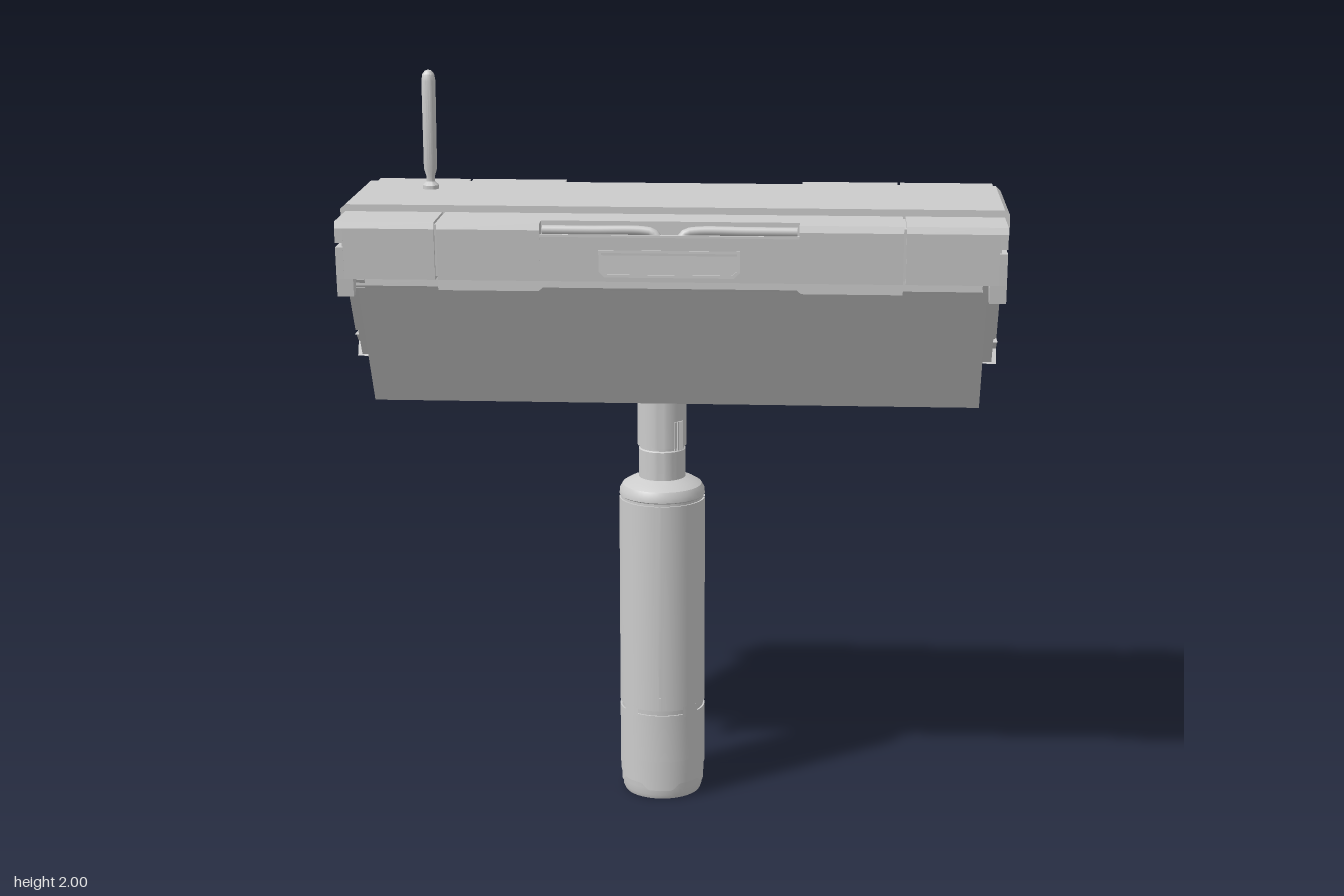
import * as THREE from 'three';
import { toCreasedNormals } from 'three/addons/utils/BufferGeometryUtils.js';

const grey = new THREE.MeshStandardMaterial({ color: 0xcccccc });
const thin = new THREE.MeshStandardMaterial({ color: 0xcccccc, side: THREE.DoubleSide });

function add(parent, name, geometry, x = 0, y = 0, z = 0, material = grey) {
  const mesh = new THREE.Mesh(geometry, material);
  mesh.name = name;
  mesh.position.set(x, y, z);
  parent.add(mesh);
  return mesh;
}
const toShape = pts => new THREE.Shape(pts.map(([a, b]) => new THREE.Vector2(a, b)));

// Cross-section of [z, y] points pushed along x from x0 to x1
function prismX(pts, x0, x1) {
  const g = new THREE.ExtrudeGeometry(toShape(pts.map(([z, y]) => [-z, y])), { depth: x1 - x0, bevelEnabled: false });
  return g.rotateY(Math.PI / 2).translate(x0, 0, 0);
}
// Outline of [x, y] points pushed along z from z0 to z1
function prismZ(pts, z0, z1) {
  return new THREE.ExtrudeGeometry(toShape(pts), { depth: z1 - z0, bevelEnabled: false }).translate(0, 0, z0);
}
// Closed symmetric outline from its +z half
const mirrorZ = half => [...half, ...half.slice().reverse().map(([z, y]) => [-z, y])];

function lathe(pts, segments = 48, start = 0, length = Math.PI * 2) {
  return toCreasedNormals(
    new THREE.LatheGeometry(pts.map(([r, y]) => new THREE.Vector2(r, y)), segments, start, length), 0.5);
}

// One long side of the lid, built facing +z
function lidSide(name) {
  const side = new THREE.Group();
  side.name = name;
  const full = [[0.18, 1.662], [0.355, 1.662], [0.362, 1.645], [0.35, 1.512], [0.30, 1.512], [0.25, 1.585], [0.18, 1.585]];
  const notched = [[0.18, 1.662], [0.312, 1.662], [0.312, 1.628], [0.36, 1.628], ...full.slice(3)];
  add(side, 'lidCenterSection', prismX(notched, -0.33, 0.33));
  add(side, 'lidSeamFiller', prismX([[0.18, 1.655], [0.35, 1.655], [0.342, 1.52], [0.302, 1.52], [0.25, 1.59], [0.18, 1.59]], 0.33, 0.84));
  add(side, 'lidSeamFiller', prismX([[0.18, 1.655], [0.35, 1.655], [0.342, 1.52], [0.302, 1.52], [0.25, 1.59], [0.18, 1.59]], -0.84, -0.33));
  add(side, 'recessLip', new THREE.BoxGeometry(0.66, 0.006, 0.008), 0, 1.631, 0.356);

  for (const s of [-1, 1]) {
    const span = (a, b, pts) => prismX(pts, Math.min(s * a, s * b), Math.max(s * a, s * b));
    add(side, 'lidMiddleSection', span(0.33, 0.593, full));
    add(side, 'lidEndSection', span(0.6, 0.835, full));
    // End sections carry a narrow slit in their outer edge
    add(side, 'lidEndUpper', span(0.835, 0.855, [[0.18, 1.662], [0.355, 1.662], [0.362, 1.645], [0.359, 1.607], [0.18, 1.607]]));
    add(side, 'lidEndLower', span(0.835, 0.855, [[0.18, 1.595], [0.358, 1.595], ...full.slice(3)]));
    add(side, 'lidHook', span(0.812, 0.855, [[0.35, 1.515], [0.344, 1.465], [0.322, 1.465], [0.30, 1.515]]));
    add(side, 'lidTab', prismZ([[s * 0.30, 1.516], [s * 0.335, 1.485], [s * 0.593, 1.485], [s * 0.593, 1.516]], 0.304, 0.348));

    // Rod handle lying in the recess and bending down at the middle
    const path = new THREE.CatmullRomCurve3([[0.325, 1.642, 0.335], [0.2, 1.642, 0.335], [0.07, 1.642, 0.335],
      [0.04, 1.636, 0.338], [0.024, 1.615, 0.345]].map(([x, y, z]) => new THREE.Vector3(s * x, y, z)));
    add(side, 'handleRod', new THREE.TubeGeometry(path, 24, 0.012, 10));
    add(side, 'handleRodEnd', new THREE.SphereGeometry(0.014, 12, 8), s * 0.024, 1.615, 0.345);
  }

  // Plate on the middle of the wall
  const plate = k => [[-0.18 + k, 1.595 - k], [-0.18 + k, 1.54 + k / 2], [-0.165 + k, 1.525 + k], [0.165 - k, 1.525 + k],
    [0.18 - k, 1.54 + k / 2], [0.18 - k, 1.595 - k]];
  const frame = toShape(plate(0));
  frame.holes.push(new THREE.Path(plate(0.007).reverse().map(([x, y]) => new THREE.Vector2(x, y))));
  add(side, 'plateFrame', new THREE.ExtrudeGeometry(frame, { depth: 0.014, bevelEnabled: false }), 0, 0, 0.346);
  add(side, 'plate', prismZ(plate(0.007), 0.34, 0.356));

  // Thin sloping flap hanging under the lid
  const flap = new THREE.PlaneGeometry(1.62, Math.hypot(0.35, 0.21));
  flap.rotateX(Math.atan2(0.21, 0.35));
  add(side, 'hangingFlap', flap, 0, 1.305, 0.195, thin);
  return side;
}

function buildHead() {
  const head = new THREE.Group();
  head.name = 'head';
  add(head, 'topSlab', prismZ([[-0.868, 1.615], [0.868, 1.615], [0.868, 1.668], [0.855, 1.68], [-0.855, 1.68], [-0.868, 1.668]], -0.2, 0.2));
  add(head, 'body', prismX(mirrorZ([[0.25, 1.62], [0.25, 1.475], [0.105, 1.262]]), -0.825, 0.825));
  const front = lidSide('frontLid');
  const back = lidSide('backLid');
  back.rotation.y = Math.PI;
  head.add(front, back);

  for (const s of [-1, 1]) {
    const end = new THREE.Group();
    end.name = s > 0 ? 'leftEnd' : 'rightEnd';
    // Upper plate, chevron seam and lower plate of the end cap
    add(end, 'endPlate', prismX(mirrorZ([[0.225, 1.61], [0.255, 1.575], [0.255, 1.49], [0.155, 1.335], [0.125, 1.335], [0.085, 1.305]]), 0.80, 0.846));
    add(end, 'endSeam', prismX(mirrorZ([[0.25, 1.47], [0.108, 1.26]]), 0.80, 0.838));
    add(end, 'endLowerPlate', prismX(mirrorZ([[0.148, 1.322], [0.13, 1.322], [0.09, 1.292], [0, 1.292], [0, 1.255], [0.108, 1.255]]
      .filter(p => p[0] > 0)), 0.80, 0.85));
    add(end, 'endRim', prismX(mirrorZ([[0.278, 1.50], [0.262, 1.50], [0.262, 1.47]]).slice(0, 3), 0.80, 0.846));
    // Socket with its ring
    add(end, 'socketPlate', prismX(mirrorZ([[0.065, 1.61], [0.065, 1.475], [0.04, 1.475], [0.03, 1.455]]), 0.84, 0.866));
    add(end, 'socketRing', new THREE.TorusGeometry(0.043, 0.009, 10, 32).rotateY(Math.PI / 2), 0.866, 1.537, 0);
    add(end, 'socketDisc', new THREE.CylinderGeometry(0.034, 0.034, 0.01, 32).rotateZ(Math.PI / 2), 0.865, 1.537, 0);
    if (s < 0) end.rotation.y = Math.PI;
    head.add(end);
  }

  // Antenna
  add(head, 'antenna', lathe([[0.022, 1.67], [0.022, 1.69], [0.012, 1.70], [0.012, 1.715], [0.018, 1.735],
    [0.019, 1.97], [0.016, 1.988], [0.009, 1.997], [0, 2]], 20), -0.67, 0, -0.07);
  return head;
}

// Thin collar whose lower edge steps down four times around
function steppedCollar(radius, top, high, low) {
  const g = new THREE.CylinderGeometry(radius, radius, 1, 96, 1, true);
  const p = g.attributes.position;
  for (let i = 0; i < p.count; i++) {
    const wave = Math.cos(4 * Math.atan2(p.getX(i), p.getZ(i)));
    const t = THREE.MathUtils.clamp(0.5 + wave * 1.4, 0, 1);
    p.setY(i, p.getY(i) > 0 ? top : high + (low - high) * t);
  }
  return g;
}

function buildPole() {
  const pole = new THREE.Group();
  pole.name = 'pole';
  pole.position.x = -0.041;
  // Neck
  add(pole, 'lowerNeck', lathe([[0.064, 0.88], [0.064, 0.985], [0.06, 0.988], [0.06, 0.994], [0.067, 0.996],
    [0.067, 1.235], [0.07, 1.24], [0.07, 1.262]]));
  for (let i = 0; i < 4; i++) {
    const a = 0.62 + i * 0.13;
    const rib = add(pole, 'neckRib', new THREE.BoxGeometry(0.005, 0.08, 0.006), 0.067 * Math.sin(a), 1.03, 0.067 * Math.cos(a));
    rib.rotation.y = a;
  }
  // Grip core with hollow foot and rounded shoulder
  add(pole, 'gripCore', lathe([[0, 0.03], [0.08, 0.03], [0.085, 0.004], [0.09, 0], [0.105, 0], [0.11, 0.012], [0.11, 0.03],
    [0.113, 0.05], [0.113, 0.855], [0.117, 0.858], [0.116, 0.872], [0.108, 0.886], [0.09, 0.897], [0.06, 0.908]]));
  // Four sleeve panels with narrow seams, and the dashed slot under them
  for (let i = 0; i < 4; i++) {
    const seam = i * Math.PI / 2;
    const panel = (name, gap, y0, y1) => add(pole, name,
      lathe([[0.111, y0], [0.1175, y0], [0.1175, y1], [0.111, y1]], 16, seam + gap, Math.PI / 2 - 2 * gap));
    panel('sleevePanel', 0.025, 0.262, 0.848);
    panel('slotBridge', 0.56, 0.24, 0.27);
    add(pole, 'seamBridge', lathe([[0.111, 0.262], [0.1165, 0.262], [0.1165, 0.3], [0.111, 0.3]], 4, seam - 0.025, 0.05));
  }
  add(pole, 'lowerSleeve', lathe([[0.113, 0.11], [0.1175, 0.11], [0.1175, 0.248], [0.111, 0.248]]));
  // Stepped collars at the foot
  add(pole, 'upperCollar', steppedCollar(0.1175, 0.112, 0.098, 0.078), 0, 0, 0, thin);
  add(pole, 'middleCollar', steppedCollar(0.1155, 0.1, 0.072, 0.052), 0, 0, 0, thin);
  add(pole, 'lowerCollar', steppedCollar(0.1135, 0.08, 0.044, 0.026), 0, 0, 0, thin);
  return pole;
}

export function createModel() {
  const model = new THREE.Group();
  model.name = 'fieldDevice';
  model.add(buildHead(), buildPole());
  return model;
}
